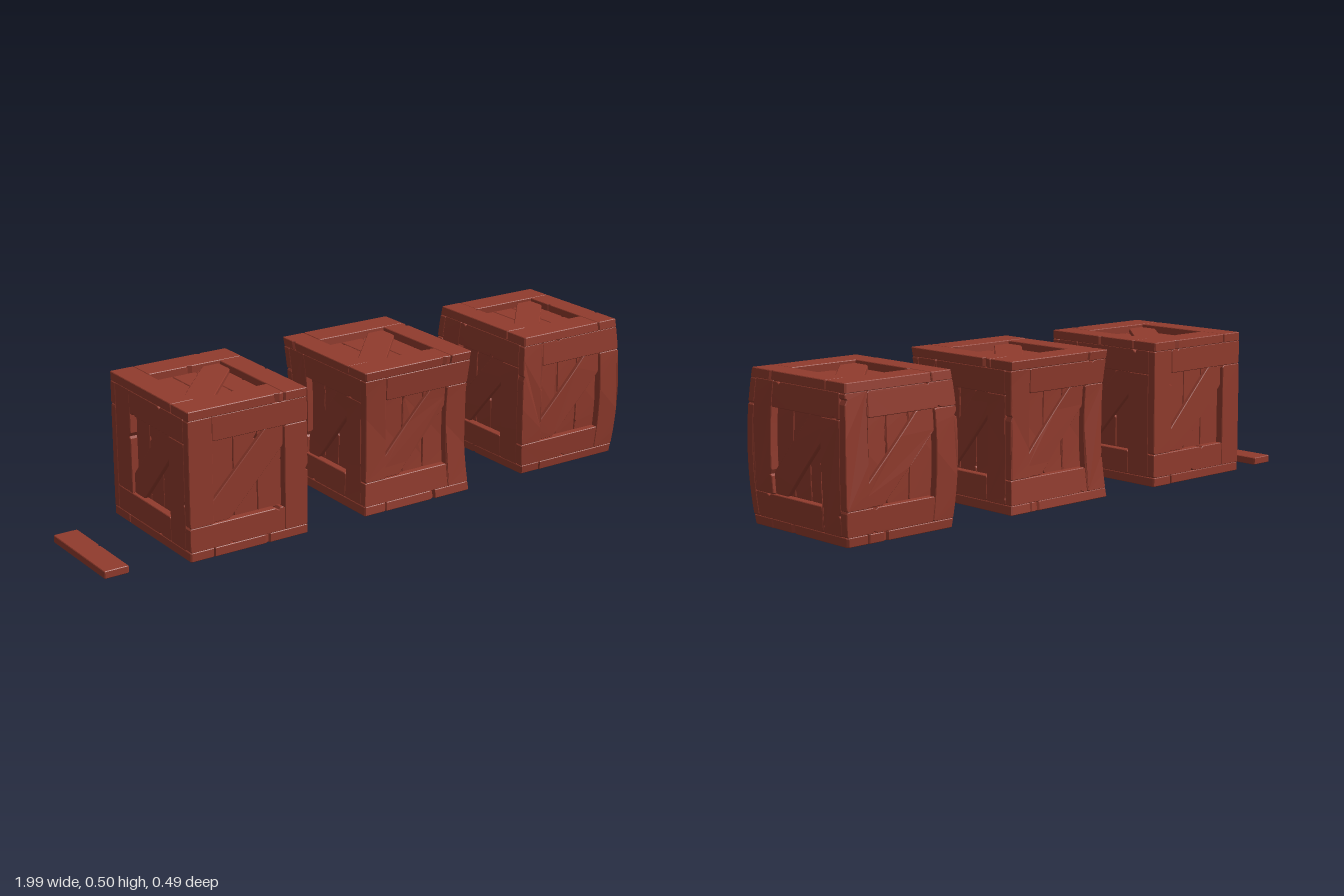
import * as THREE from 'three';

const V = (x, y, z) => new THREE.Vector3(x, y, z);

// small seeded random source
function makeRandom(seed) {
  let s = seed;
  return () => {
    s = (s * 16807) % 2147483647;
    return s / 2147483647;
  };
}

// outline of a worn board: clipped corners, subdivided edges, wedge nicks
function wornOutline(corners, rnd, nickChance) {
  const pts = [];
  const n = corners.length;
  for (let i = 0; i < n; i++) {
    const a = new THREE.Vector2(...corners[i]);
    const b = new THREE.Vector2(...corners[(i + 1) % n]);
    const len = a.distanceTo(b);
    const dir = b.clone().sub(a).divideScalar(len);
    const inward = new THREE.Vector2(-dir.y, dir.x);
    const at = (d, depth = 0) =>
      pts.push(a.clone().addScaledVector(dir, d).addScaledVector(inward, depth));
    const start = 0.0025 + rnd() * 0.004;
    const end = len - 0.0025 - rnd() * 0.004;
    const steps = Math.max(1, Math.round(len / 0.045));
    const nickStep = rnd() < nickChance && steps > 2 ? Math.floor(rnd() * steps) : -1;
    for (let k = 0; k < steps; k++) {
      const d = start + ((end - start) * k) / steps;
      at(d);
      if (k === nickStep) {
        at(d + 0.01);
        at(d + 0.016, 0.005 + rnd() * 0.005);
        at(d + 0.03);
      }
    }
    at(end);
  }
  return new THREE.Shape(pts);
}

// board lying in the u-v plane, outer surface at w = top
function boardGeometry(corners, top, thickness, rnd, nickChance = 0.5) {
  const bevel = 0.002;
  const geo = new THREE.ExtrudeGeometry(wornOutline(corners, rnd, nickChance), {
    depth: thickness - 2 * bevel,
    bevelEnabled: true,
    bevelSize: bevel,
    bevelThickness: bevel,
    bevelOffset: -bevel,
    bevelSegments: 1,
  });
  return geo.translate(0, 0, top - thickness + bevel);
}

const rect = (u0, v0, u1, v1) => [[u0, v0], [u1, v0], [u1, v1], [u0, v1]];

// crate half sizes
const HX = 0.215, HY = 0.245, HZ = 0.245, T = 0.03;

// each face: axes u, v, outward; half sizes; outer distance; half opening
const FACES = [
  { name: 'front', u: V(1, 0, 0), v: V(0, 1, 0), n: V(0, 0, 1), U: HX, H: HY - T, D: HZ, a: 0.13, b: 0.135 },
  { name: 'back', u: V(-1, 0, 0), v: V(0, 1, 0), n: V(0, 0, -1), U: HX, H: HY - T, D: HZ, a: 0.13, b: 0.135 },
  { name: 'left', u: V(0, 0, -1), v: V(0, 1, 0), n: V(1, 0, 0), U: HZ - T, H: HY - T, D: HX, a: 0.123, b: 0.135 },
  { name: 'right', u: V(0, 0, 1), v: V(0, 1, 0), n: V(-1, 0, 0), U: HZ - T, H: HY - T, D: HX, a: 0.123, b: 0.135 },
  { name: 'top', u: V(1, 0, 0), v: V(0, 0, -1), n: V(0, 1, 0), U: HX, H: HZ, D: HY, a: 0.13, b: 0.145 },
  { name: 'bottom', u: V(1, 0, 0), v: V(0, 0, 1), n: V(0, -1, 0), U: HX, H: HZ, D: HY, a: 0.13, b: 0.145 },
];

// crate whose girth follows a curve: end scale at top and bottom, mid scale at the waist
function buildCrate(name, endScale, midScale, material, rnd) {
  const crate = new THREE.Group();
  crate.name = name;

  for (const f of FACES) {
    const side = new THREE.Group();
    side.name = f.name + 'Side';
    const basis = new THREE.Matrix4().makeBasis(f.u, f.v, f.n);
    const { U, H, D, a, b } = f;

    const add = (partName, geo) => {
      geo.applyMatrix4(basis);
      const p = geo.attributes.position;
      for (let i = 0; i < p.count; i++) {
        const t = p.getY(i) / HY;
        const s = endScale + (midScale - endScale) * (1 - t * t);
        p.setX(i, p.getX(i) * s);
        p.setZ(i, p.getZ(i) * s);
      }
      geo.computeVertexNormals();
      const mesh = new THREE.Mesh(geo, material);
      mesh.name = partName;
      side.add(mesh);
    };

    // pinwheel frame
    const frame = [
      rect(-U, -b, -a, H),
      rect(-a, b, U, H),
      rect(a, -H, U, b),
      rect(-U, -H, a, -b),
    ];
    for (const r of frame) add('frameBoard', boardGeometry(r, D - rnd() * 0.0012, T, rnd));

    // recessed planks
    const w = (2 * a) / 3;
    for (let i = 0; i < 3; i++) {
      const u0 = -a + i * w;
      const r = rect(u0 + (i ? 0.001 : -0.004), -b - 0.004, u0 + w + (i < 2 ? -0.001 : 0.004), b + 0.004);
      add('panelPlank', boardGeometry(r, D - 0.026, 0.012, rnd, 0.25));
    }

    // diagonal brace
    const c = 0.063, d = 0.068;
    const brace = [[-a, -b], [-a + c, -b], [a, b - d], [a, b], [a - c, b], [-a, -b + d]];
    add('diagonalBrace', boardGeometry(brace, D - 0.011, 0.016, rnd, 0));

    crate.add(side);
  }
  return crate;
}

export function createModel() {
  const model = new THREE.Group();
  model.name = 'crateSet';
  const wood = new THREE.MeshStandardMaterial({ color: 0x913b2d });
  wood.name = 'redWood';
  const rnd = makeRandom(4711);

  // straight, pinched and bulging crates
  const crates = [
    ['straightCrate', -0.525, 1, 1],
    ['pinchedCrate', 0.126, 0.995, 0.93],
    ['bulgingCrate', 0.777, 0.94, 1.005],
  ];
  for (const [name, x, endScale, midScale] of crates) {
    const crate = buildCrate(name, endScale, midScale, wood, rnd);
    crate.position.set(x, 0.26, 0);
    model.add(crate);
  }

  // loose plank on the ground
  const plankGeo = boardGeometry(rect(-0.0425, -0.1725, 0.0425, 0.1725), 0.025, 0.025, rnd);
  plankGeo.rotateX(-Math.PI / 2);
  const plank = new THREE.Mesh(plankGeo, wood);
  plank.name = 'loosePlank';
  plank.position.set(-0.9575, 0, -0.002);
  model.add(plank);

  return model;
}
